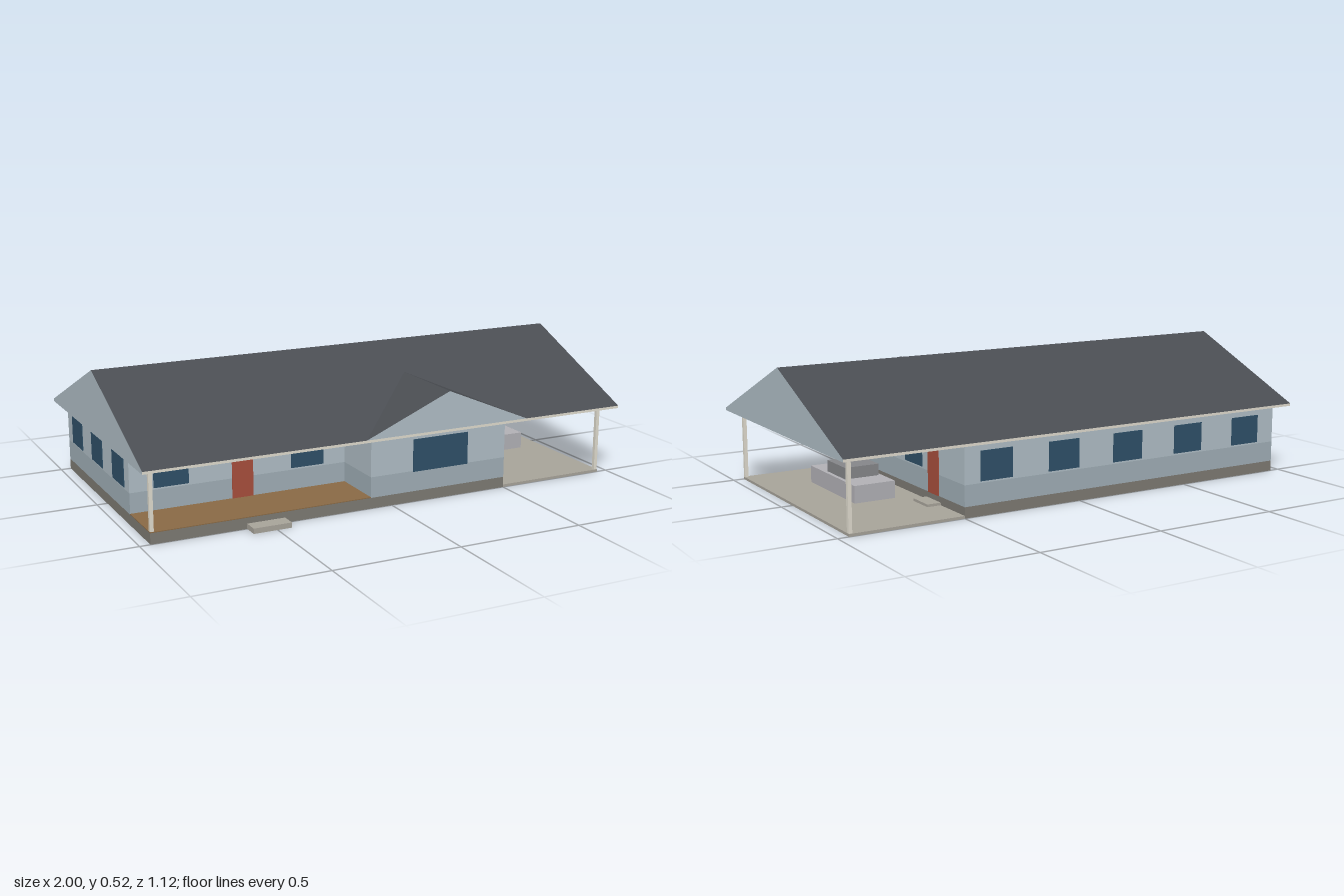
import * as THREE from 'three';

const mat = (color) => new THREE.MeshStandardMaterial({ color });

export function createModel() {
  const house = new THREE.Group();
  house.name = 'house';

  const siding = mat(0xb0bec6), lowerSiding = mat(0xa0aeb6), roofing = mat(0x4a4d52);
  const trim = mat(0xe0dccf), glass = mat(0x2f5068), doorRed = mat(0xa84f3c);
  const concrete = mat(0xa8a49a), footing = mat(0x7d7a73), timber = mat(0x8a6a45);
  const carBody = mat(0xb2b1b6), carCabin = mat(0x86878a);

  const add = (name, geometry, material) => {
    const mesh = new THREE.Mesh(geometry, material);
    mesh.name = name;
    house.add(mesh);
    return mesh;
  };
  // Box given by its two extreme corners
  const box = (name, material, [x0, y0, z0], [x1, y1, z1]) => {
    const mesh = add(name, new THREE.BoxGeometry(x1 - x0, y1 - y0, z1 - z0), material);
    mesh.position.set((x0 + x1) / 2, (y0 + y1) / 2, (z0 + z1) / 2);
    return mesh;
  };

  // Layout of the plan
  const left = -0.96, right = 0.5, wing = -0.09, depth = 0.5, porch = 0.28;
  const floor = 0.042, band = 0.123, eave = 0.278, roofBase = 0.288, overhang = 0.56;

  // Ground works
  box('foundation', footing, [left, 0, -depth], [right, floor, depth]);
  box('carportSlab', concrete, [right, 0, -depth], [0.957, 0.01, depth]);
  box('porchDeck', timber, [left, floor, porch], [wing, floor + 0.003, depth]);
  box('frontStep', concrete, [-0.594, 0, depth], [-0.444, 0.02, 0.56]);
  box('sideStep', concrete, [right, 0.01, -0.32], [0.556, 0.02, -0.21]);

  // L-shaped walls in two tones, with the porch recess at the front
  const plan = new THREE.Shape([
    [left, -depth], [right, -depth], [right, depth], [wing, depth], [wing, porch], [left, porch],
  ].map(([x, z]) => new THREE.Vector2(x, -z)));
  const wall = (name, material, y0, y1) => {
    const g = new THREE.ExtrudeGeometry(plan, { depth: y1 - y0, bevelEnabled: false });
    add(name, g.rotateX(-Math.PI / 2).translate(0, y0, 0), material);
  };
  wall('lowerWalls', lowerSiding, floor, band);
  wall('upperWalls', siding, band, eave);

  // Windows and doors: thin panels standing just proud of a wall
  const proud = 0.003;
  const onZ = (name, material, x, w, y0, y1, z) =>
    box(name, material, [x - w / 2, y0, z - proud], [x + w / 2, y1, z + proud]);
  const onX = (name, material, z, w, y0, y1, x) =>
    box(name, material, [x - proud, y0, z - w / 2], [x + proud, y1, z + w / 2]);
  const sill = 0.13, head = 0.243, width = 0.136;

  for (const x of [-0.8, -0.25]) onZ('porchWindow', glass, x, width, sill, head, porch);
  onZ('frontDoor', doorRed, -0.518, 0.085, floor + 0.003, 0.232, porch);
  onZ('wingWindow', glass, 0.21, 0.24, 0.12, 0.248, depth);
  for (let i = 0; i < 5; i++) onZ('backWindow', glass, -0.81 + i * 0.294, width, sill, head, -depth);
  for (const z of [-0.365, -0.103, 0.158]) onX('endWindow', glass, z, width, sill, head, left);
  for (const z of [0.152, -0.11]) onX('carportWindow', glass, z, width, sill, head, right);
  onX('sideDoor', doorRed, -0.267, 0.082, floor, 0.23, right);

  // Slim posts for the carport and the porch corner
  for (const [x, y, z] of [[0.95, 0.01, 0.49], [0.95, 0.01, -0.49], [-0.952, floor, 0.49]]) {
    box('post', trim, [x - 0.007, y, z - 0.007], [x + 0.007, eave, z + 0.007]);
  }

  // Eave slab: pale fascia and soffit, sided ends
  box('eaves', [siding, siding, trim, trim, trim, trim],
    [-1, eave, -overhang], [1, roofBase, overhang]);

  // Gable prisms: sided triangular ends, roofed slopes
  const gable = (halfSpan, rise, length) => new THREE.ExtrudeGeometry(
    new THREE.Shape([
      new THREE.Vector2(-halfSpan, 0), new THREE.Vector2(halfSpan, 0), new THREE.Vector2(0, rise),
    ]), { depth: length, bevelEnabled: false });
  add('mainRoof', gable(overhang, 0.237, 2).translate(0, roofBase, -1).rotateY(Math.PI / 2),
    [siding, roofing]);
  add('crossGableRoof', gable(0.35, 0.148, 0.36).translate(0.21, roofBase, 0.2),
    [siding, roofing]);

  // Simple parked car
  box('carBody', carBody, [0.64, 0.036, -0.224], [0.805, 0.102, 0.17]);
  box('carCabin', carCabin, [0.652, 0.102, -0.113], [0.79, 0.146, 0.045]);

  return house;
}
